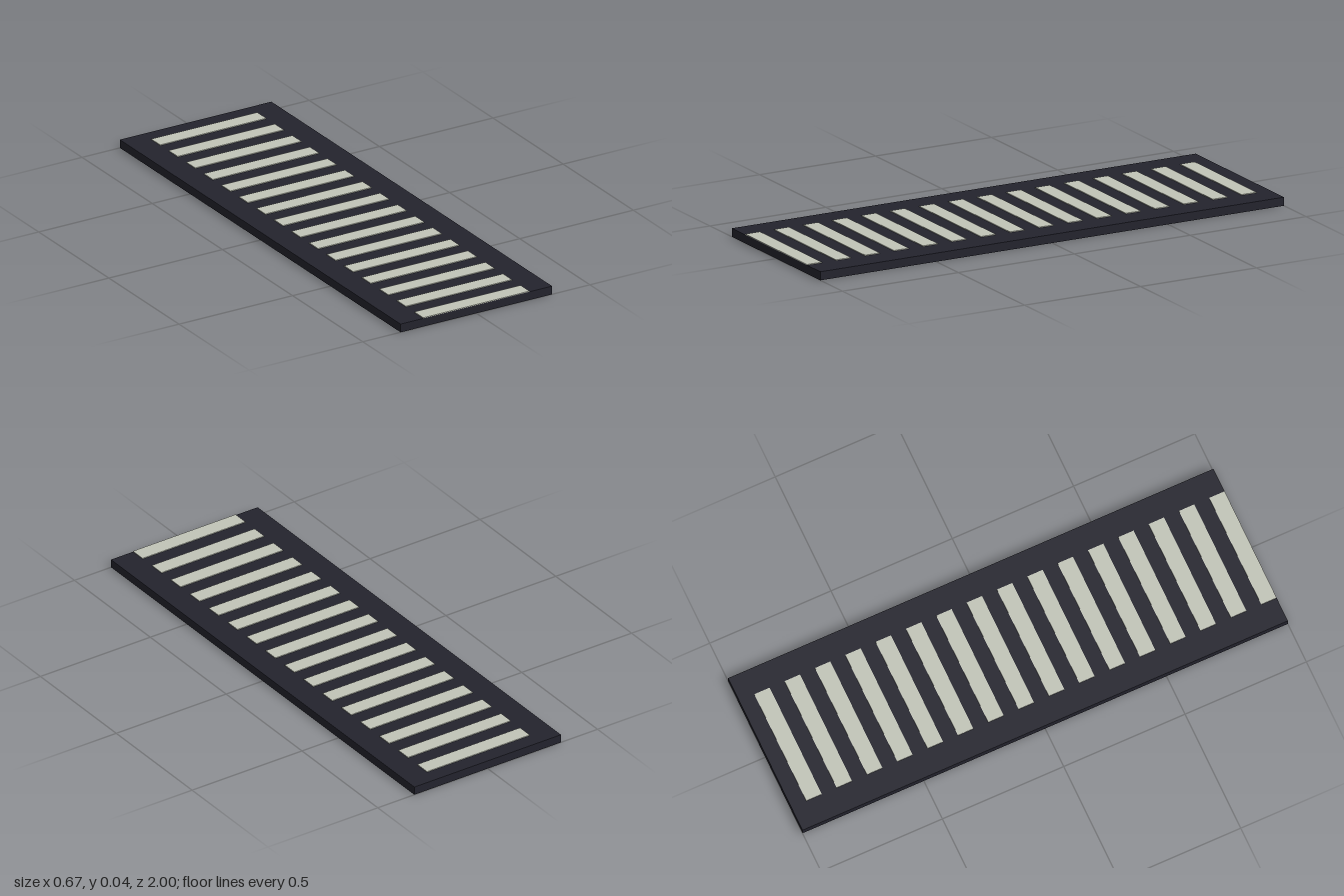
import * as THREE from 'three';

export function createModel() {
  const model = new THREE.Group();
  model.name = 'crosswalk';

  const asphalt = new THREE.MeshStandardMaterial({ color: 0x23232d });
  asphalt.name = 'dark asphalt';
  const paint = new THREE.MeshStandardMaterial({ color: 0xc2c5b8 });
  paint.name = 'pale road paint';

  // Road slab
  const slabHeight = 0.0335;
  const slab = new THREE.Mesh(new THREE.BoxGeometry(0.667, slabHeight, 2), asphalt);
  slab.name = 'roadSlab';
  slab.position.y = slabHeight / 2;
  model.add(slab);

  // Painted stripes, evenly spaced; the last one meets the front edge
  const count = 16, pitch = 0.125, depth = 0.0635, thickness = 0.003;
  const stripeGeometry = new THREE.BoxGeometry(0.467, thickness, depth);
  const stripes = new THREE.Group();
  stripes.name = 'stripes';
  for (let i = 0; i < count; i++) {
    const stripe = new THREE.Mesh(stripeGeometry, paint);
    stripe.name = `stripe${i + 1}`;
    stripe.position.set(0, slabHeight + thickness / 2, 1 - depth / 2 - i * pitch);
    stripes.add(stripe);
  }
  model.add(stripes);

  return model;
}
